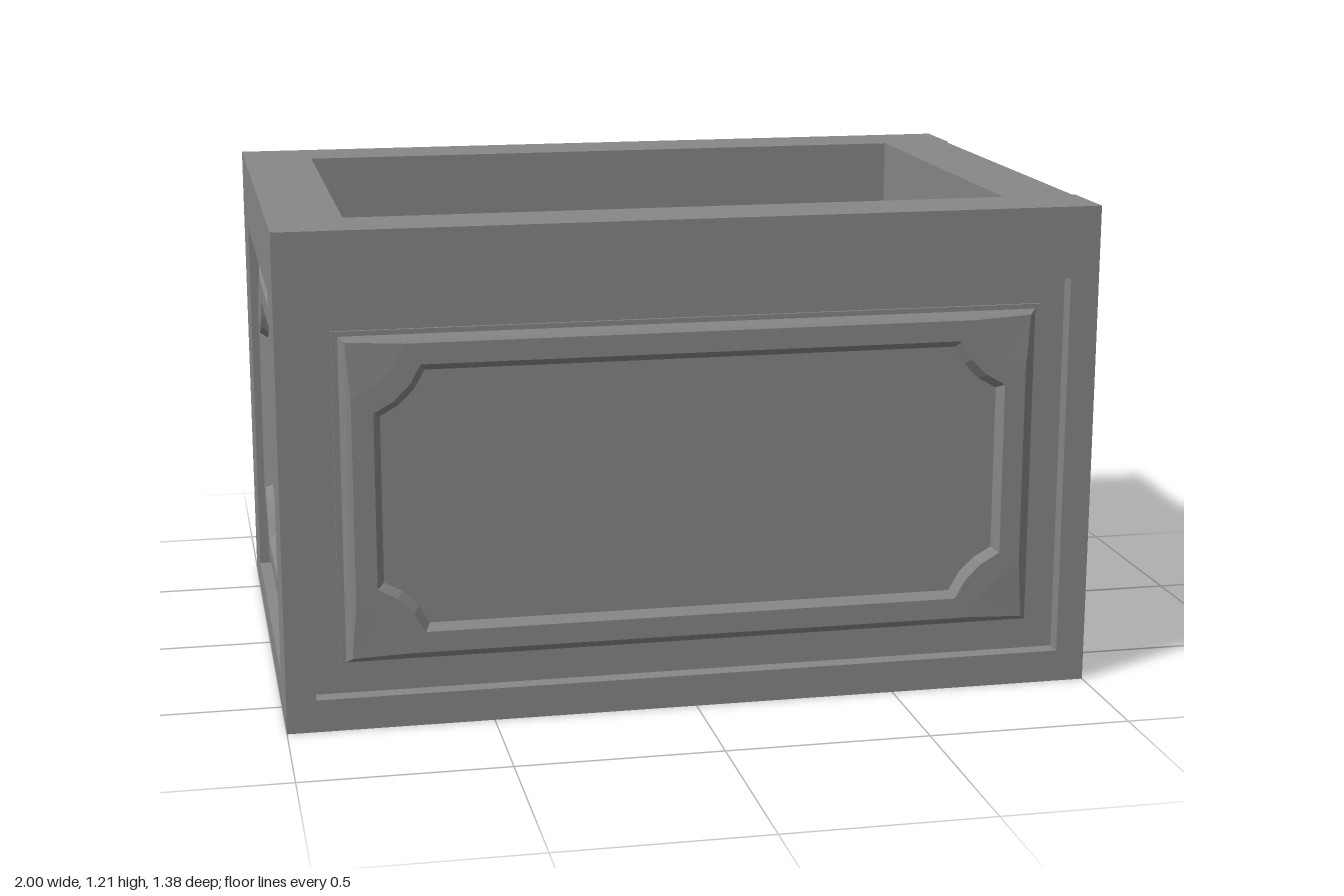
import * as THREE from 'three';

const material = new THREE.MeshStandardMaterial({ color: 0x878787, flatShading: true });
const ARC = 3; // segments in each scooped corner
const THICK = 0.18;
const HEIGHT = 1.21;

// Rectangle with shallow scooped corners, counter-clockwise; r = 0 gives a plain rectangle
function ring(cx, cy, hx, hy, r, z) {
  const points = [];
  [[1, 1], [-1, 1], [-1, -1], [1, -1]].forEach(([sx, sy], corner) => {
    for (let i = 0; i <= ARC; i++) {
      const t = (corner % 2 ? ARC - i : i) / ARC;
      const a = t * Math.PI / 2;
      // halfway between a straight chamfer and a quarter circle
      const dx = r * (Math.sin(a) + t) / 2;
      const dy = r * (Math.cos(a) + 1 - t) / 2;
      points.push(new THREE.Vector3(cx + sx * (hx - dx), cy + sy * (hy - dy), z));
    }
  });
  return points;
}

// Slab with the same sunken, moulded panel on both faces; its front lies at z = 0
function wallGeometry(halfLength, openingHalf, shift) {
  const cy = 0.557;
  // [inset from the opening in x, half height, corner radius, depth], from field to opening
  const steps = [
    [0.171, 0.311, 0.107, 0.035],  // sunken field
    [0.154, 0.328, 0.113, 0.015],  // field edge
    [0.102, 0.379, 0.13, 0.015],   // raised border with scooped corners
    [0.091, 0.386, 0, 0.021],      // gently sloping spandrels
    [0.076, 0.398, 0, 0.034],      // bevel
    [0.061, 0.41, 0, 0.034],       // flat outer band
    [0.061, 0.41, 0, 0.041],       // band edge
    [0, 0.477, 0, 0.041],          // recess floor
    [0, 0.477, 0, 0],              // opening
  ];
  const face = (zOf) => [
    ...steps.map(([inset, hy, r, d]) => ring(shift, cy, openingHalf - inset, hy, r, zOf(d))),
    ring(0, HEIGHT / 2, halfLength, HEIGHT / 2, 0, zOf(0)),
  ];
  const rings = [...face((d) => -d), ...face((d) => d - THICK).reverse()];

  const positions = [];
  const edge1 = new THREE.Vector3();
  const edge2 = new THREE.Vector3();
  const triangle = (a, b, c) => {
    edge1.subVectors(b, a);
    edge2.subVectors(c, a);
    if (edge1.cross(edge2).length() < 1e-8) return;
    for (const p of [a, b, c]) positions.push(p.x, p.y, p.z);
  };
  const n = rings[0].length;
  const last = rings[rings.length - 1];
  const frontCentre = new THREE.Vector3(shift, cy, rings[0][0].z);
  const backCentre = new THREE.Vector3(shift, cy, last[0].z);
  for (let i = 0; i < n; i++) {
    const j = (i + 1) % n;
    triangle(frontCentre, rings[0][i], rings[0][j]);
    triangle(backCentre, last[j], last[i]);
    for (let k = 0; k < rings.length - 1; k++) {
      const a = rings[k];
      const b = rings[k + 1];
      triangle(a[i], b[i], b[j]);
      triangle(a[i], b[j], a[j]);
    }
  }
  const geometry = new THREE.BufferGeometry();
  geometry.setAttribute('position', new THREE.Float32BufferAttribute(positions, 3));
  geometry.computeVertexNormals();
  return geometry;
}

export function createModel() {
  const group = new THREE.Group();
  const add = (name, geometry, x, y, z, turn = 0) => {
    const mesh = new THREE.Mesh(geometry, material);
    mesh.name = name;
    mesh.position.set(x, y, z);
    mesh.rotation.y = turn;
    group.add(mesh);
  };

  // Long walls run the full width
  const longWall = wallGeometry(1, 0.928, 0);
  add('frontWall', longWall, 0, 0, 0.69);
  add('backWall', longWall, 0, 0, -0.69, Math.PI);

  // Short walls fit between them
  add('leftWall', wallGeometry(0.51, 0.473, -0.012), 0.992, 0, 0, Math.PI / 2);
  add('rightWall', wallGeometry(0.51, 0.473, 0.012), -1, 0, 0, -Math.PI / 2);

  // Floor
  add('floor', new THREE.BoxGeometry(1.64, 0.03, 1.02), -0.004, 0.016, 0);
  return group;
}
